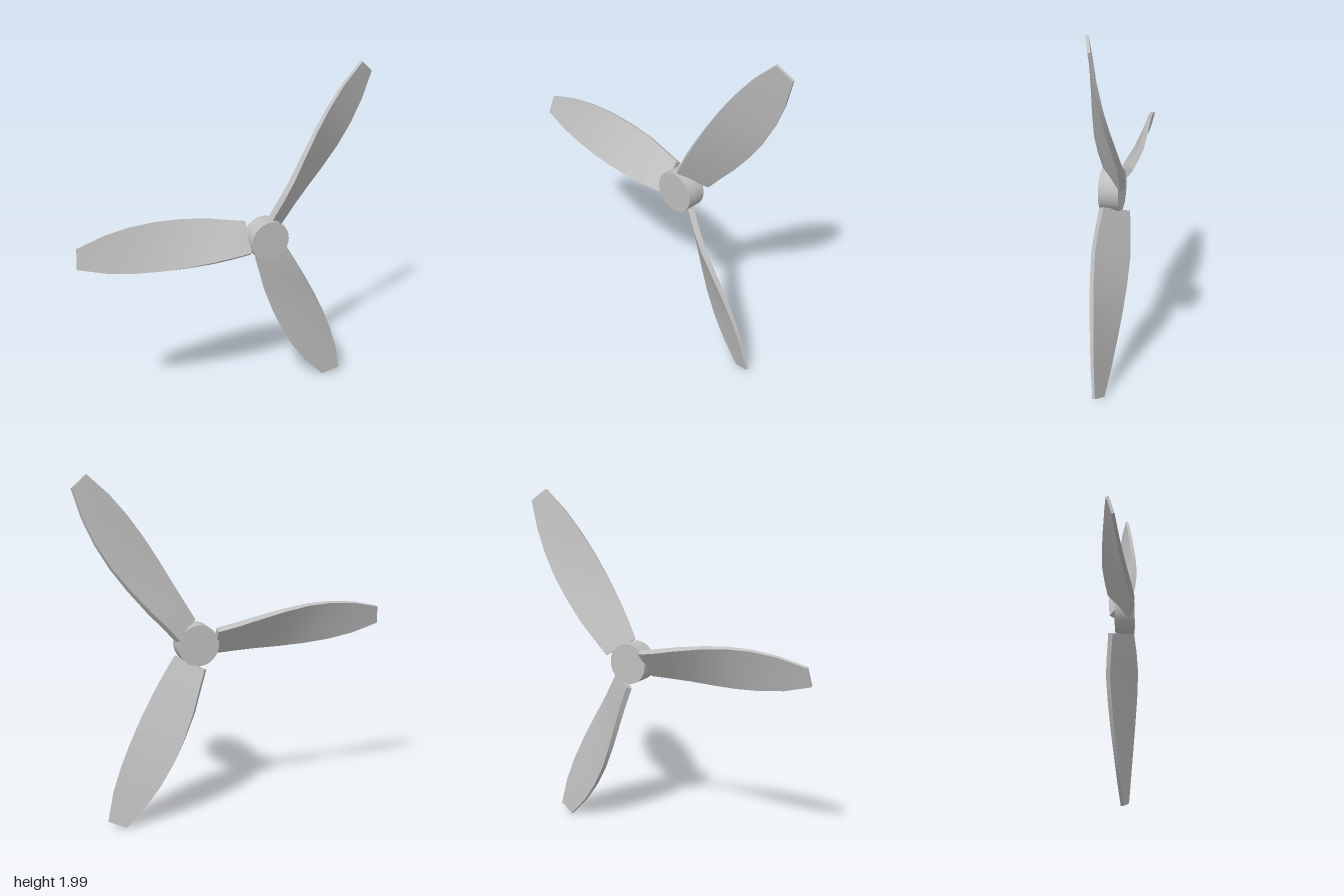
import * as THREE from 'three';

// Blade stations: distance from hub axis, upper edge y, lower edge y, front-most z, rear-most z, thickness
const STATIONS = [
  [0.10, 0.100, -0.072, 0.070, -0.075, 0.034],
  [0.22, 0.125, -0.072, 0.083, -0.085, 0.033],
  [0.34, 0.153, -0.071, 0.089, -0.092, 0.031],
  [0.50, 0.180, -0.069, 0.080, -0.083, 0.028],
  [0.65, 0.196, -0.062, 0.066, -0.070, 0.025],
  [0.80, 0.196, -0.047, 0.051, -0.055, 0.022],
  [0.95, 0.179, -0.020, 0.036, -0.041, 0.019],
  [1.11, 0.140, 0.030, 0.020, -0.025, 0.016],
];

// Four corners of a pitched rectangular section
function section([u, top, bottom, zMax, zMin, t]) {
  let pitch = 0.4;
  for (let i = 0; i < 6; i++) {
    pitch = Math.atan2(zMax - zMin - t * Math.cos(pitch), top - bottom - t * Math.sin(pitch));
  }
  const ty = t * Math.sin(pitch), tz = t * Math.cos(pitch);
  return [
    [-u, top, zMin + tz],
    [-u - 0.015, bottom + ty, zMax],
    [-u - 0.015, bottom, zMax - tz],
    [-u, top - ty, zMin],
  ];
}

// Twisted blade: four strips, smooth along the length, sharp at the edges
function bladeGeometry() {
  const rings = STATIONS.map(section);
  const positions = [], indices = [];
  for (let k = 0; k < 4; k++) {
    const base = positions.length / 3;
    rings.forEach((ring, i) => {
      positions.push(...ring[k], ...ring[(k + 1) % 4]);
      if (i === 0) return;
      const a = base + (i - 1) * 2, b = base + i * 2;
      indices.push(a, b, b + 1, a, b + 1, a + 1);
    });
  }
  // root and tip ends
  [rings[0], [...rings[rings.length - 1]].reverse()].forEach((ring) => {
    const base = positions.length / 3;
    ring.forEach((p) => positions.push(...p));
    indices.push(base, base + 1, base + 2, base, base + 2, base + 3);
  });
  const geometry = new THREE.BufferGeometry();
  geometry.setAttribute('position', new THREE.Float32BufferAttribute(positions, 3));
  geometry.setIndex(indices);
  geometry.computeVertexNormals();
  return geometry;
}

export function createModel() {
  const metal = new THREE.MeshStandardMaterial({ color: 0xbfbfbf });
  metal.name = 'light grey';

  const propeller = new THREE.Group();
  propeller.name = 'propeller';
  propeller.position.set(0.22, 1.04, 0);

  // hub
  const hub = new THREE.Mesh(new THREE.CylinderGeometry(0.117, 0.117, 0.11, 48), metal);
  hub.name = 'hub';
  hub.rotation.x = Math.PI / 2;
  hub.position.z = 0.02;
  propeller.add(hub);

  // three blades
  const geometry = bladeGeometry();
  for (let i = 0; i < 3; i++) {
    const blade = new THREE.Mesh(geometry, metal);
    blade.name = 'blade' + (i + 1);
    blade.rotation.z = (i * Math.PI * 2) / 3;
    propeller.add(blade);
  }

  const model = new THREE.Group();
  model.name = 'model';
  model.add(propeller);
  return model;
}
